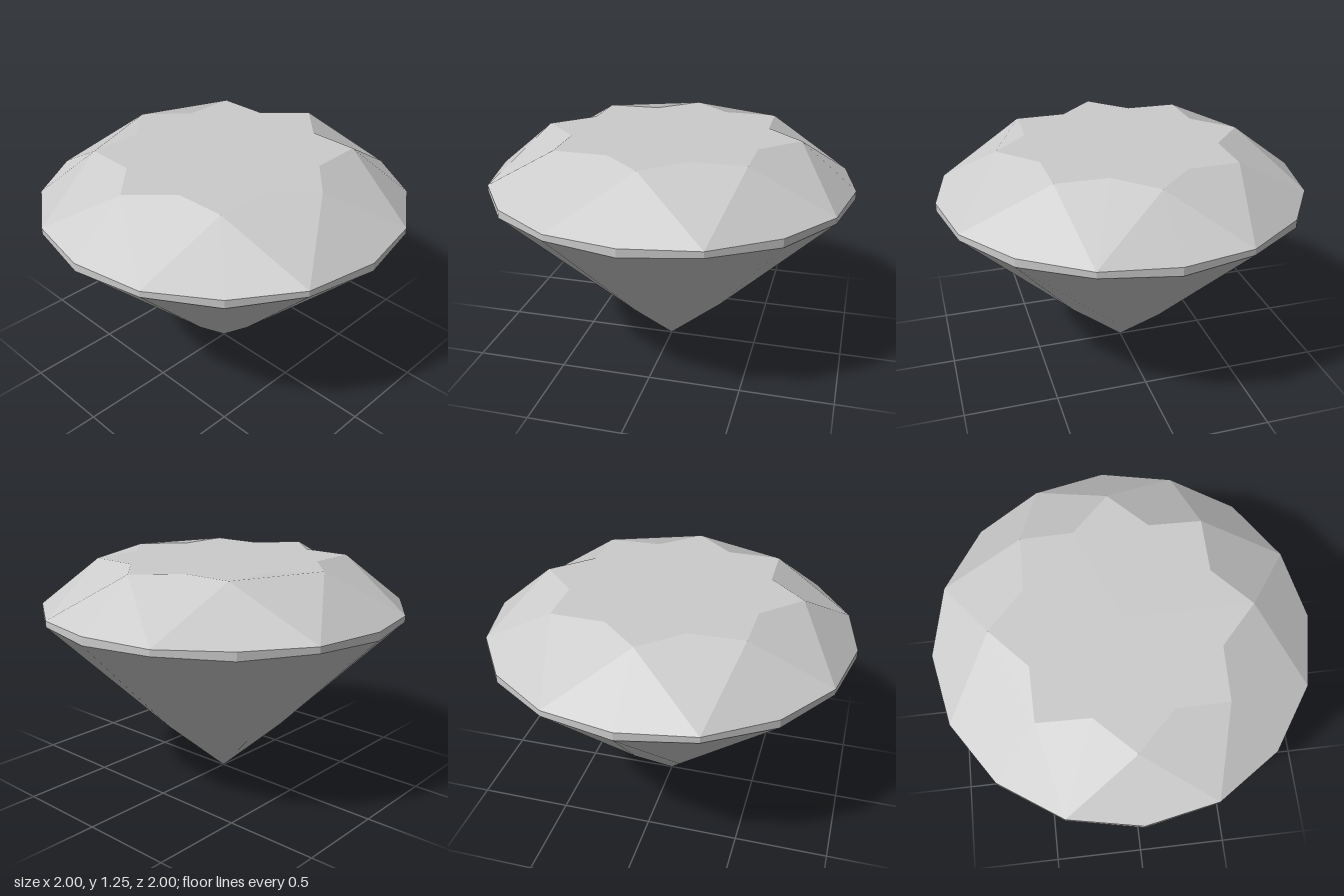
import * as THREE from 'three';

const STEP = Math.PI / 8; // sixteen rim corners
// Point on a ring: i counts sixteenths of a turn from the front towards +x
const ring = (i, r, y, zScale = 1) =>
  new THREE.Vector3(r * Math.sin(i * STEP), y, r * Math.cos(i * STEP) * zScale);

// Builds a mesh of flat facets; each polygon is fanned from its first corner
// and shaded with one normal.
function facetMesh(name, facets, material) {
  const positions = [], normals = [];
  for (const f of facets) {
    const n = new THREE.Vector3();
    for (let i = 1; i < f.length - 1; i++) {
      const a = f[i].clone().sub(f[0]), b = f[i + 1].clone().sub(f[0]);
      n.add(a.cross(b));
    }
    n.normalize();
    for (let i = 1; i < f.length - 1; i++) {
      for (const p of [f[0], f[i], f[i + 1]]) {
        positions.push(p.x, p.y, p.z);
        normals.push(n.x, n.y, n.z);
      }
    }
  }
  const geometry = new THREE.BufferGeometry();
  geometry.setAttribute('position', new THREE.Float32BufferAttribute(positions, 3));
  geometry.setAttribute('normal', new THREE.Float32BufferAttribute(normals, 3));
  const mesh = new THREE.Mesh(geometry, material);
  mesh.name = name;
  return mesh;
}

export function createModel() {
  const group = new THREE.Group();
  group.name = 'cutGem';
  const material = new THREE.MeshStandardMaterial({ color: 0xcccccc, side: THREE.DoubleSide });

  const topY = 1.25;
  const tip = (i) => ring(i, 0.7, topY, 0.955);    // outer star corners (even i)
  const notch = (i) => ring(i, 0.542, topY, 0.955); // inner star corners (odd i)
  const upper = (i) => ring(i, 1, i % 2 ? 0.995 : 1.0);
  const lower = (i) => ring(i, 1, i % 2 ? 0.962 : 0.955);
  const mid = (i) => ring(i, 0.34, 0.302);          // pavilion kite corners (odd i)
  const apex = new THREE.Vector3(0, 0, 0);
  const centre = new THREE.Vector3(0, topY, 0);

  const table = [], crown = [], girdle = [], pavilion = [];

  for (let i = 0; i < 16; i++) {
    // star-shaped flat top
    const star = (k) => (k % 2 ? notch(k) : tip(k));
    table.push([centre, star(i), star(i + 1)]);
    // thin band round the rim
    girdle.push([upper(i), lower(i), lower(i + 1), upper(i + 1)]);
  }

  for (let i = 0; i < 16; i += 2) {
    // crown kites
    crown.push([tip(i), upper(i - 1), upper(i), upper(i + 1)]);
    // star facets: folded across the tips at front and back, creased inwards at the sides
    const a = (i + 1) * STEP;
    const quad = [tip(i), upper(i + 1), tip(i + 2), notch(i + 1)];
    if (Math.abs(Math.cos(a)) < Math.abs(Math.sin(a))) quad.push(quad.shift());
    crown.push(quad);
    // pavilion kites and the pairs of long triangles between them
    pavilion.push([apex, mid(i + 1), lower(i), mid(i - 1)]);
    pavilion.push([lower(i), mid(i + 1), lower(i + 1)]);
    pavilion.push([lower(i + 1), mid(i + 1), lower(i + 2)]);
  }

  group.add(
    facetMesh('table', table, material),
    facetMesh('crown', crown, material),
    facetMesh('girdle', girdle, material),
    facetMesh('pavilion', pavilion, material)
  );
  return group;
}
